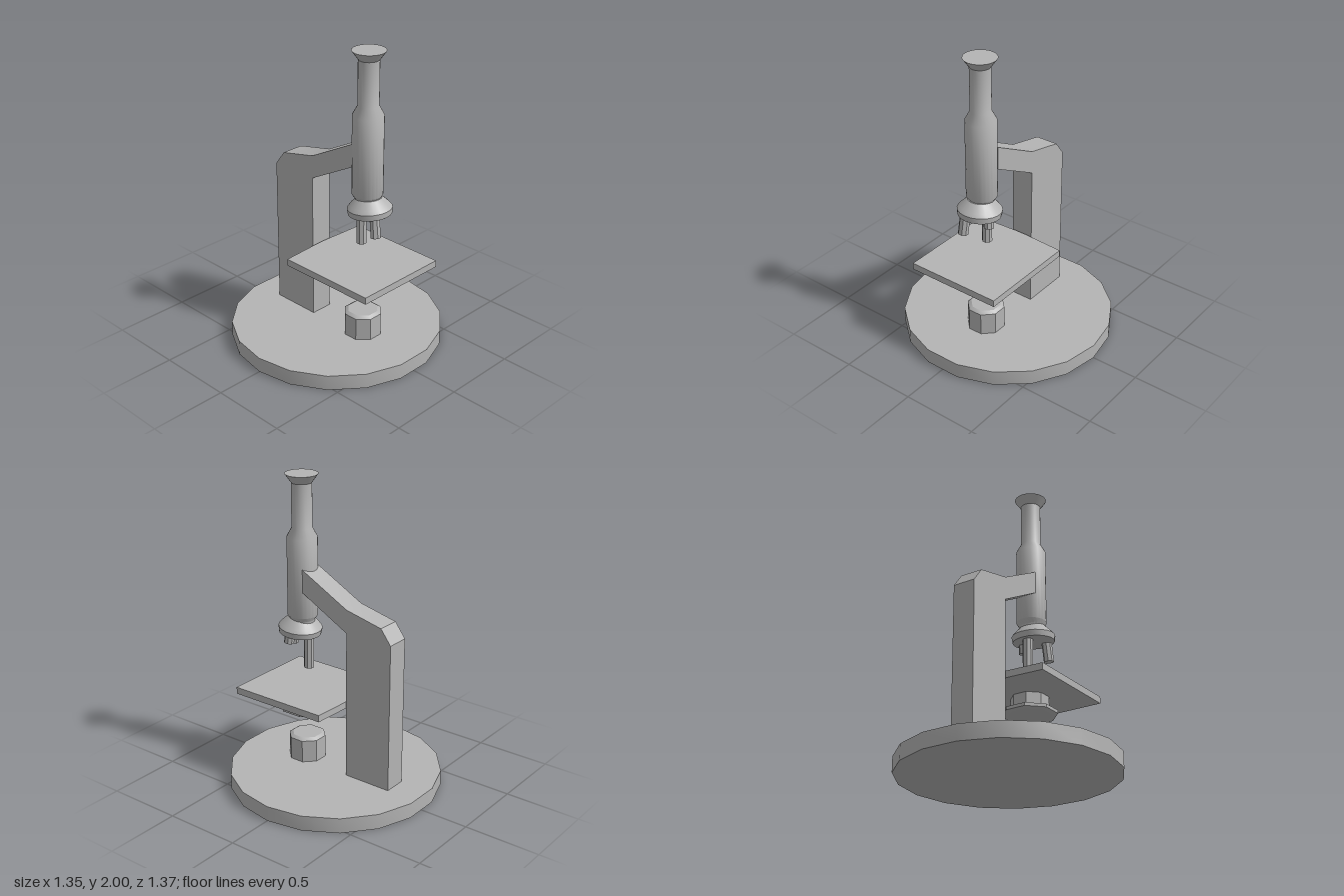
import * as THREE from 'three';
import { toCreasedNormals } from 'three/addons/utils/BufferGeometryUtils.js';

const grey = new THREE.MeshStandardMaterial({ color: 0xb4b4b4 });
grey.name = 'grey';

function part(name, geometry, parent) {
  const mesh = new THREE.Mesh(toCreasedNormals(geometry, 0.6), grey);
  mesh.name = name;
  parent.add(mesh);
  return mesh;
}

// Solid of revolution from [radius, y] pairs, listed bottom to top and capped at both ends
function turned(profile, sides, start = 0) {
  const points = [[0, profile[0][1]], ...profile, [0, profile[profile.length - 1][1]]];
  return new THREE.LatheGeometry(points.map(([r, y]) => new THREE.Vector2(r, y)), sides, start);
}

function slab(points, depth) {
  const shape = new THREE.Shape(points.map(([x, y]) => new THREE.Vector2(x, y)));
  return new THREE.ExtrudeGeometry(shape, { depth, bevelEnabled: false });
}

export function createModel() {
  const model = new THREE.Group();
  model.name = 'microscope';

  part('base', turned([[0.685, 0], [0.685, 0.1]], 18), model);

  // Bent arm rising from the base to the tube
  const arm = part('arm', slab([
    [-0.472, 0.1], [-0.142, 0.1], [-0.142, 1.08], [0.2, 1.265],
    [0.2, 1.415], [-0.142, 1.233], [-0.4, 1.175], [-0.472, 1.08],
  ], 0.15), model);
  arm.position.z = -0.077;

  // Stage with a slightly bowed edge against the arm
  const stage = part('stage', slab([
    [0.556, -0.32], [0.556, 0.32], [-0.117, 0.32], [-0.132, 0.04], [-0.132, -0.04], [-0.117, -0.32],
  ], 0.045), model);
  stage.rotation.x = -Math.PI / 2;
  stage.position.y = 0.565;

  // Octagonal condenser under the stage, and the lamp on the base
  const condenser = part('condenser', turned([
    [0.165, 0.447], [0.176, 0.453], [0.176, 0.474], [0.122, 0.488], [0.122, 0.566],
  ], 8, Math.PI / 8), model);
  const lamp = part('lamp', turned([
    [0.122, 0.1], [0.122, 0.25], [0.098, 0.266],
  ], 8, Math.PI / 8), model);
  condenser.position.x = lamp.position.x = 0.234;

  // Tube with flared eyepiece
  const tube = part('tube', turned([
    [0.077, 1.04], [0.077, 1.06], [0.097, 1.09], [0.097, 1.6],
    [0.065, 1.66], [0.065, 1.945], [0.104, 2],
  ], 24), model);
  tube.position.x = 0.261;

  // Tilted revolving nosepiece
  const nosepiece = part('nosepiece', turned([
    [0.136, -0.038], [0.141, 0], [0.125, 0.02], [0.08, 0.066],
  ], 20), model);
  nosepiece.position.set(0.282, 1.003, 0);
  nosepiece.rotation.z = 0.09;

  // Three objectives, each given by its top and bottom centres
  const objectives = [
    ['longObjective', [0.215, 0.98, 0], [0.215, 0.735, 0]],
    ['mediumObjective', [0.364, 0.99, 0.046], [0.383, 0.85, 0.052]],
    ['shortObjective', [0.297, 0.98, -0.083], [0.306, 0.91, -0.088]],
  ];
  for (const [name, a, b] of objectives) {
    const top = new THREE.Vector3(...a);
    const bottom = new THREE.Vector3(...b);
    const axis = top.clone().sub(bottom);
    const mesh = part(name, turned([[0.033, 0], [0.033, axis.length()]], 8, Math.PI / 8), model);
    mesh.position.copy(bottom);
    mesh.quaternion.setFromUnitVectors(new THREE.Vector3(0, 1, 0), axis.normalize());
  }

  return model;
}
